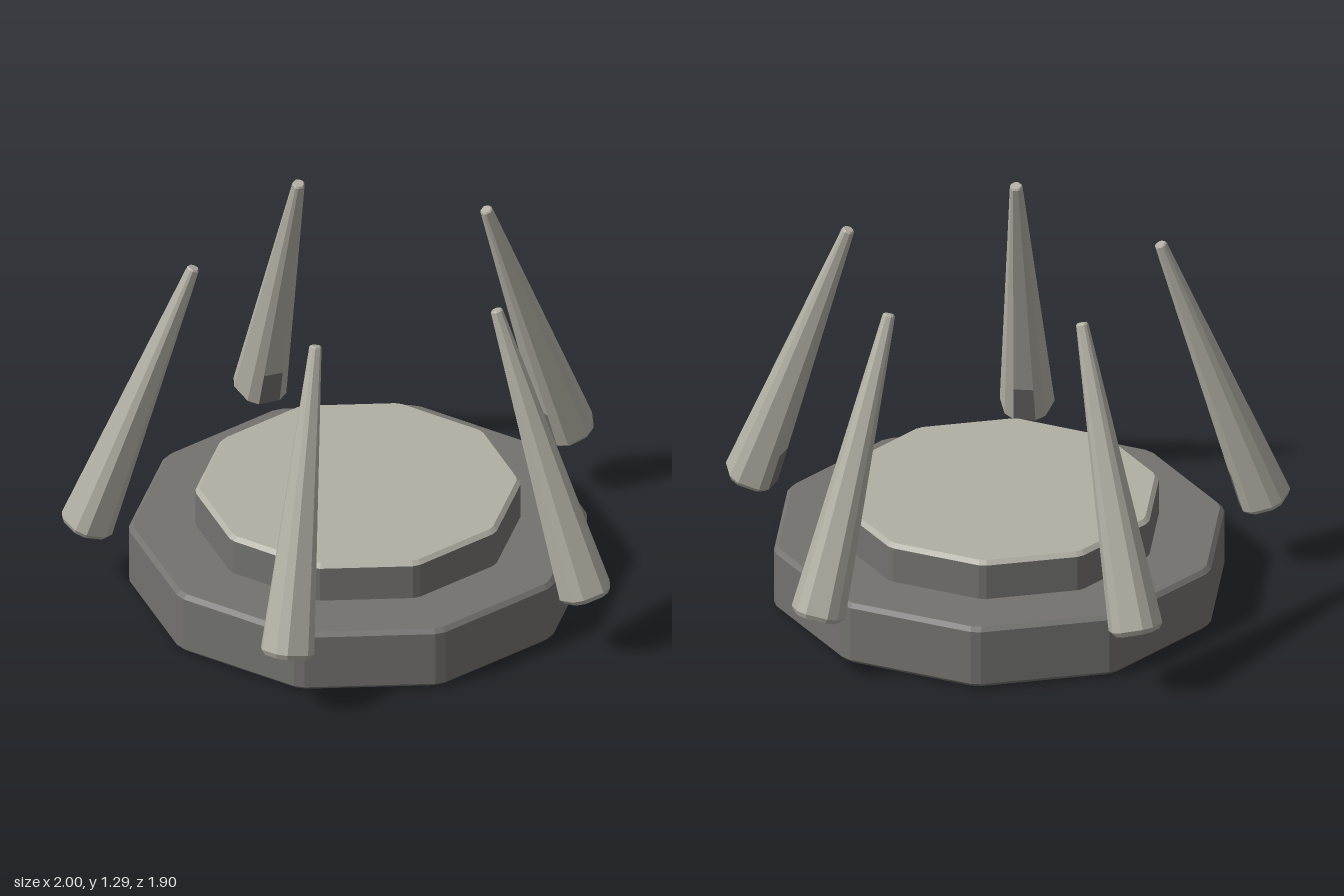
import * as THREE from 'three';

const CENTRE_Z = 0.095;

// Regular polygon of radius 1 with clipped corners, one corner facing +z
function clippedPolygon(sides, clip) {
  const corner = (k) => {
    const a = (k / sides) * Math.PI * 2;
    return new THREE.Vector2(Math.sin(a), Math.cos(a));
  };
  const points = [];
  for (let k = 0; k < sides; k++) {
    points.push(corner(k).lerp(corner(k - 1), clip), corner(k).lerp(corner(k + 1), clip));
  }
  return points;
}

// Faceted solid through rings given as [height, radius]; isAccent picks material 1 per face
function facetedSolid(outline, rings, isAccent = () => false) {
  const faces = [[], []];
  const count = outline.length;
  const at = ([y, r], i) => [outline[i % count].x * r, y, outline[i % count].y * r];
  for (let j = 0; j < rings.length - 1; j++) {
    for (let i = 0; i < count; i++) {
      const a = at(rings[j], i), b = at(rings[j], i + 1);
      const c = at(rings[j + 1], i + 1), d = at(rings[j + 1], i);
      faces[isAccent(j, i) ? 1 : 0].push(...a, ...b, ...c, ...a, ...c, ...d);
    }
  }
  const low = rings[0], high = rings[rings.length - 1];
  for (let i = 0; i < count; i++) {
    faces[0].push(0, low[0], 0, ...at(low, i + 1), ...at(low, i));
    faces[0].push(0, high[0], 0, ...at(high, i), ...at(high, i + 1));
  }
  const geometry = new THREE.BufferGeometry();
  geometry.setAttribute('position', new THREE.Float32BufferAttribute([...faces[0], ...faces[1]], 3));
  geometry.addGroup(0, faces[0].length / 3, 0);
  geometry.addGroup(faces[0].length / 3, faces[1].length / 3, 1);
  geometry.computeVertexNormals();
  return geometry;
}

export function createModel() {
  const paleStone = new THREE.MeshStandardMaterial({ color: 0xb2afa4 });
  paleStone.name = 'paleStone';
  const darkStone = new THREE.MeshStandardMaterial({ color: 0x73726f });
  darkStone.name = 'darkStone';

  const model = new THREE.Group();
  model.name = 'spikedAltar';
  const body = new THREE.Group();
  body.name = 'altarBody';
  body.position.z = CENTRE_Z;
  model.add(body);

  const add = (name, geometry, materials, parent = body) => {
    const mesh = new THREE.Mesh(geometry, materials);
    mesh.name = name;
    parent.add(mesh);
    return mesh;
  };

  // Stepped ten-sided platform
  const decagon = clippedPolygon(10, 0.04);
  add('base', facetedSolid(decagon, [[0, 0.795], [0.016, 0.813], [0.22, 0.813], [0.235, 0.797]]),
    [darkStone, darkStone]);
  add('upperStep', facetedSolid(decagon, [[0.23, 0.577], [0.366, 0.577]]), [darkStone, darkStone]);
  add('topSlab', facetedSolid(decagon, [[0.366, 0.577], [0.381, 0.562]]), [paleStone, paleStone]);

  // Five tapering spikes leaning inward, dark at the foot of the inner face
  const foot = new THREE.Vector2(0.96, 0.235);
  const tip = new THREE.Vector2(0.58, 1.288);
  const length = foot.distanceTo(tip);
  const radius = (s) => THREE.MathUtils.lerp(0.112, 0.025, s / length);
  const rings = [[0, 0.095], [0.018, radius(0.018)], [0.16, radius(0.16)],
    [length - 0.006, radius(length - 0.006)], [length, 0.02]];
  const spike = facetedSolid(clippedPolygon(5, 0.2), rings, (ring, side) => ring < 2 && side === 5);
  for (let k = 0; k < 5; k++) {
    const holder = new THREE.Group();
    holder.name = `spikeHolder${k + 1}`;
    holder.rotation.y = ((k + 0.5) / 5) * Math.PI * 2;
    body.add(holder);
    const mesh = add(`spike${k + 1}`, spike, [paleStone, darkStone], holder);
    mesh.position.set(0, foot.y, foot.x);
    mesh.rotation.x = -Math.atan2(foot.x - tip.x, tip.y - foot.y);
  }
  return model;
}
